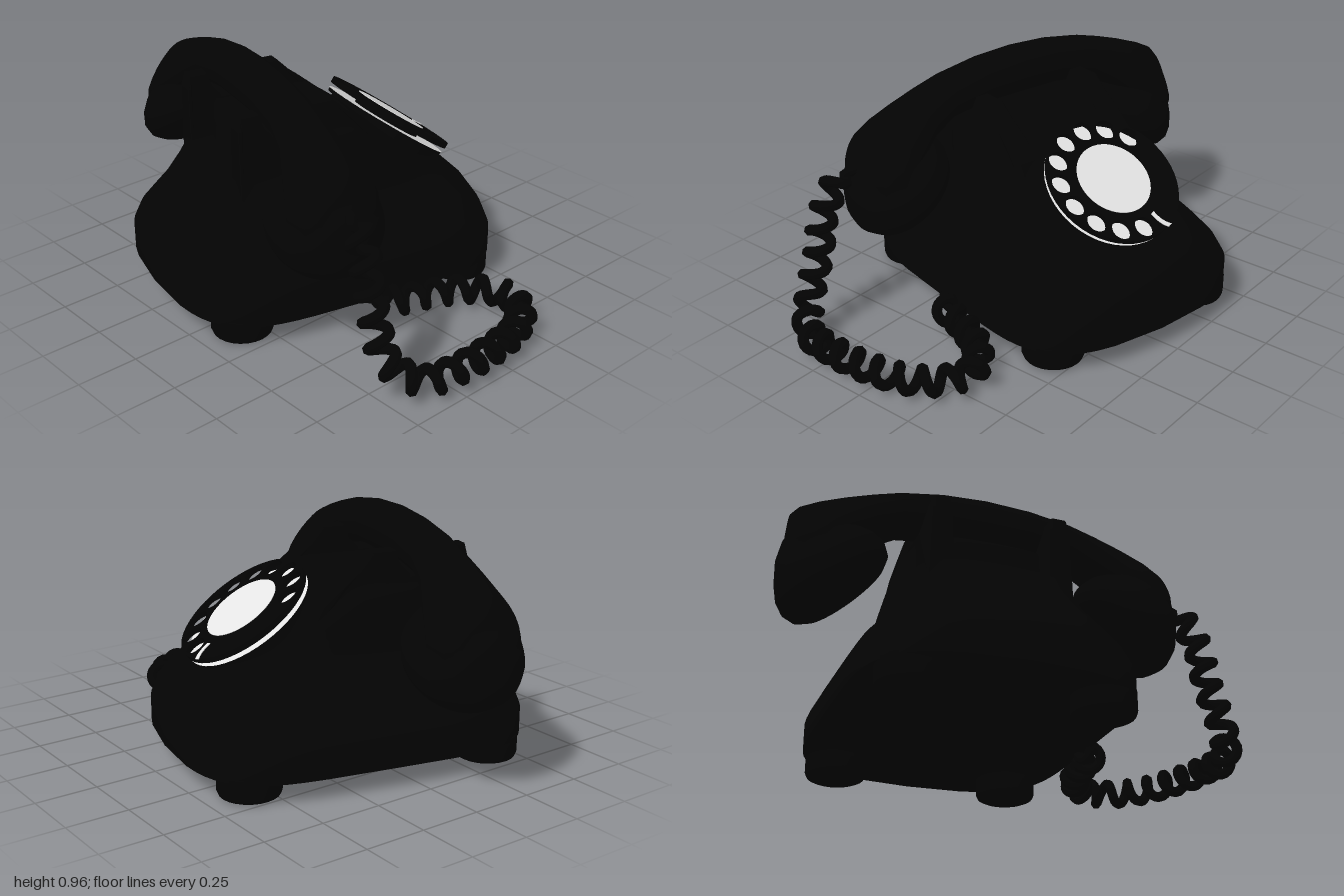
import * as THREE from 'three';
import { toCreasedNormals } from 'three/addons/utils/BufferGeometryUtils.js';

const black = new THREE.MeshStandardMaterial({ color: 0x030303 });
black.name = 'black bakelite';
const ivory = new THREE.MeshStandardMaterial({ color: 0xe6e6e6 });
ivory.name = 'light dial grey';

function add(parent, name, geometry, material = black) {
  const mesh = new THREE.Mesh(geometry, material);
  mesh.name = name;
  parent.add(mesh);
  return mesh;
}

// Closed skin over a list of equal-sized rings, capped at both ends
function loft(rings, crease = 0.7) {
  const n = rings[0].length, pos = [], idx = [];
  rings.forEach(r => r.forEach(p => pos.push(p.x, p.y, p.z)));
  for (let i = 0; i < rings.length - 1; i++) {
    for (let j = 0; j < n; j++) {
      const k = (j + 1) % n;
      const a = i * n + j, b = i * n + k, c = a + n, d = b + n;
      idx.push(a, c, b, b, c, d);
    }
  }
  [0, rings.length - 1].forEach(i => {
    const mid = new THREE.Vector3();
    rings[i].forEach(p => mid.addScaledVector(p, 1 / n));
    const m = pos.length / 3;
    pos.push(mid.x, mid.y, mid.z);
    for (let j = 0; j < n; j++) {
      const a = i * n + j, b = i * n + (j + 1) % n;
      if (i === 0) idx.push(m, a, b);
      else idx.push(m, b, a);
    }
  });
  const g = new THREE.BufferGeometry();
  g.setAttribute('position', new THREE.Float32BufferAttribute(pos, 3));
  g.setIndex(idx);
  return toCreasedNormals(g, crease);
}

// Points of a rounded rectangle: exponent 2 is an ellipse, higher is squarer
function superRing(n, exponent, place) {
  const f = t => Math.sign(t) * Math.pow(Math.abs(t), 2 / exponent);
  return Array.from({ length: n }, (_, j) => {
    const a = (j / n) * Math.PI * 2;
    return place(f(Math.cos(a)), f(Math.sin(a)));
  });
}

function buildBody(phone) {
  // height, half width, rear z, dial-side z; the ends bow outward
  const levels = [
    [0.085, 0.545, 0.71, -0.71], [0.19, 0.545, 0.71, -0.71], [0.27, 0.5, 0.685, -0.685],
    [0.35, 0.43, 0.64, -0.635], [0.42, 0.37, 0.595, -0.55], [0.5, 0.34, 0.535, -0.425],
    [0.57, 0.328, 0.485, -0.325], [0.58, 0.325, 0.37, -0.31], [0.65, 0.315, 0.365, -0.21],
    [0.71, 0.3, 0.36, -0.13], [0.735, 0.28, 0.35, -0.095],
  ];
  add(phone, 'body', loft(levels.map(([y, w, back, front]) =>
    superRing(56, 5, (c, s) => new THREE.Vector3(
      c * w, y, (back + front) / 2 + s * (1 - 0.12 * c * c) * (back - front) / 2)))));

  // Feet with a softened lower edge
  const footProfile = [[0, 0], [0.1, 0], [0.117, 0.008], [0.124, 0.025], [0.124, 0.1], [0, 0.1]]
    .map(p => new THREE.Vector2(...p));
  const footGeo = toCreasedNormals(new THREE.LatheGeometry(footProfile, 24), 0.9);
  for (const x of [-1, 1]) for (const z of [-1, 1]) {
    add(phone, 'foot', footGeo).position.set(x * 0.373, 0, z * 0.497);
  }

  // Cradle rails, each with a rear and a front horn narrowing to the top
  const rail = new THREE.Shape([
    [-0.22, 0.55], [0.435, 0.5], [0.435, 0.79], [0.425, 0.835], [0.365, 0.835], [0.345, 0.78],
    [0.31, 0.74], [0.19, 0.74], [0.15, 0.78], [0.13, 0.835], [0.045, 0.835],
    [-0.015, 0.775], [-0.08, 0.725], [-0.16, 0.66],
  ].map(p => new THREE.Vector2(...p)));
  const railGeo = new THREE.ExtrudeGeometry(rail, {
    depth: 0.08, bevelEnabled: true, bevelSize: 0.01, bevelThickness: 0.012, bevelSegments: 2,
  });
  railGeo.translate(0, 0, -0.04).rotateY(-Math.PI / 2);
  const p = railGeo.attributes.position;
  for (let i = 0; i < p.count; i++) {
    p.setX(i, p.getX(i) * (1 - 0.35 * THREE.MathUtils.smoothstep(p.getY(i), 0.73, 0.84)));
  }
  railGeo.computeVertexNormals();
  for (const s of [-1, 1]) add(phone, 'cradleRail', railGeo).position.x = s * 0.24;
}

function buildDial(phone) {
  const dial = new THREE.Group();
  dial.name = 'dial';
  dial.position.set(-0.007, 0.6, -0.384);
  dial.rotation.x = -THREE.MathUtils.degToRad(125);
  phone.add(dial);

  const disc = (name, r, depth, z, material) => {
    const g = new THREE.CylinderGeometry(r, r, depth, 48).rotateX(Math.PI / 2);
    add(dial, name, g, material).position.z = z;
  };
  disc('dialMount', 0.25, 0.05, -0.075, black);
  disc('plateBacking', 0.272, 0.014, -0.043, black);
  add(dial, 'numberPlate', new THREE.CircleGeometry(0.275, 48), ivory).position.z = -0.035;
  disc('dialSpindle', 0.15, 0.03, -0.02, black);

  // Finger wheel with ten holes
  const wheel = new THREE.Shape().absarc(0, 0, 0.28, 0, Math.PI * 2);
  for (let i = 0; i < 10; i++) {
    const a = THREE.MathUtils.degToRad(i * 25.7);
    wheel.holes.push(new THREE.Path().absarc(
      Math.sin(a) * 0.23, Math.cos(a) * 0.23, 0.042, 0, Math.PI * 2, true));
  }
  add(dial, 'fingerWheel', new THREE.ExtrudeGeometry(wheel,
    { depth: 0.024, bevelEnabled: false, curveSegments: 24 })).position.z = -0.014;
  disc('dialCentre', 0.157, 0.006, 0.009, ivory);

  // Finger stop: a thin curved blade beside the first hole
  const blade = new THREE.Shape();
  blade.moveTo(-0.012, 0.284);
  blade.quadraticCurveTo(0.012, 0.25, 0, 0.2);
  blade.lineTo(0.018, 0.2);
  blade.quadraticCurveTo(0.03, 0.25, 0.01, 0.284);
  const stop = add(dial, 'fingerStop', new THREE.ExtrudeGeometry(blade,
    { depth: 0.003, bevelEnabled: false }), ivory);
  stop.position.z = 0.01;
  stop.rotation.z = THREE.MathUtils.degToRad(22);
}

function buildHandset(phone) {
  const handset = new THREE.Group();
  handset.name = 'handset';
  handset.position.set(-0.01, 0, 0.25);
  phone.add(handset);

  // Arched handle: x, top, bottom, half depth, flare of the lower side; mirrored
  const half = [
    [0, 0.963, 0.765, 0.09, 0], [0.18, 0.953, 0.765, 0.09, 0], [0.35, 0.925, 0.745, 0.094, 0.05],
    [0.46, 0.895, 0.69, 0.108, 0.2], [0.57, 0.86, 0.6, 0.142, 0.4], [0.67, 0.822, 0.51, 0.17, 0.5],
    [0.74, 0.787, 0.5, 0.14, 0.5], [0.772, 0.75, 0.51, 0.095, 0.4],
  ];
  const stations = [
    ...half.slice(1).reverse().map(([x, ...rest]) => [-x, ...rest]), ...half];
  add(handset, 'handle', loft(stations.map(([x, top, bottom, d, flare]) =>
    superRing(28, 2.2, (c, s) => new THREE.Vector3(
      x, (top + bottom) / 2 + c * (top - bottom) / 2, -s * d * (1 - flare * c)))), 1));

  // Ear and mouth cups, tilted inward
  const cup = [[0, -0.012], [0.1, -0.006], [0.18, 0.005], [0.218, 0.03], [0.235, 0.075],
    [0.226, 0.125], [0.195, 0.18], [0.14, 0.25], [0.08, 0.295], [0, 0.315]]
    .map(p => new THREE.Vector2(...p));
  const cupGeo = new THREE.LatheGeometry(cup, 36);
  for (const s of [-1, 1]) {
    const mesh = add(handset, s > 0 ? 'leftCup' : 'rightCup', cupGeo);
    mesh.position.set(s * 0.543, 0.455, 0);
    mesh.rotation.z = -s * 0.69;
  }
}

function buildCord(parent) {
  const path = new THREE.CatmullRomCurve3([
    [0.52, 0.63, 0.41], [0.61, 0.62, 0.44], [0.69, 0.5, 0.465], [0.735, 0.32, 0.47],
    [0.81, 0.14, 0.46], [0.9, 0.075, 0.37], [0.932, 0.076, 0.22], [0.93, 0.076, 0.05],
    [0.895, 0.076, -0.13], [0.81, 0.076, -0.255], [0.7, 0.076, -0.295], [0.58, 0.076, -0.22],
    [0.49, 0.076, -0.06], [0.44, 0.08, 0.07], [0.3, 0.11, 0.14],
  ].map(p => new THREE.Vector3(...p)));
  const turns = 23, steps = turns * 12;
  const frames = path.computeFrenetFrames(steps, false);
  const points = [];
  for (let i = 0; i <= steps; i++) {
    const t = i / steps, a = t * turns * Math.PI * 2;
    const r = 0.044 * THREE.MathUtils.smoothstep(Math.min(t, 1 - t), 0.025, 0.06);
    points.push(path.getPointAt(t)
      .addScaledVector(frames.normals[i], Math.cos(a) * r)
      .addScaledVector(frames.binormals[i], Math.sin(a) * r));
  }
  const coil = new THREE.CatmullRomCurve3(points);
  add(parent, 'coiledCord', new THREE.TubeGeometry(coil, turns * 16, 0.022, 7));
}

export function createModel() {
  const model = new THREE.Group();
  model.name = 'rotaryTelephone';
  const phone = new THREE.Group();
  phone.name = 'telephone';
  phone.position.x = -0.14;
  phone.rotation.y = -0.235;
  model.add(phone);
  buildBody(phone);
  buildDial(phone);
  buildHandset(phone);
  buildCord(model);
  return model;
}
